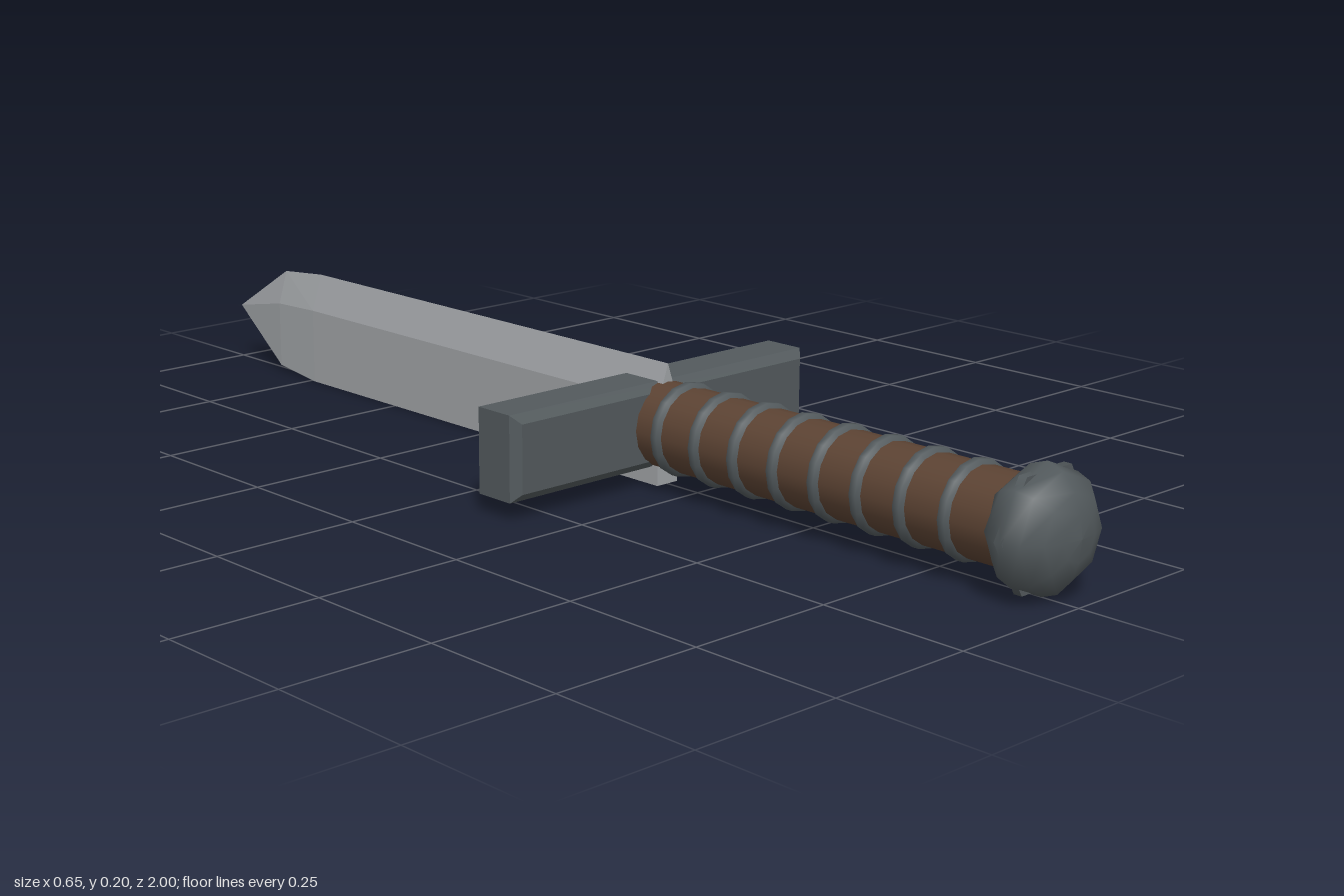
import * as THREE from 'three';

const material = (name, color) => Object.assign(new THREE.MeshStandardMaterial({ color }), { name });

export function createModel() {
  const steel = material('blade steel', 0xa0a3a6);
  const iron = material('dark iron', 0x535a5d);
  const leather = material('brown leather', 0x5c4333);
  const model = new THREE.Group();
  model.name = 'shortSword';
  const midY = 0.1;

  const add = (name, geometry, mat, y, z) => {
    const mesh = new THREE.Mesh(geometry, mat);
    mesh.name = name;
    mesh.position.set(0, y, z);
    model.add(mesh);
    return mesh;
  };
  // Parts turned around the sword's long axis (z)
  const lathe = (points, sides) =>
    new THREE.LatheGeometry(points.map(([r, z]) => new THREE.Vector2(r, z)), sides).rotateX(Math.PI / 2);

  // Blade: five-sided sections, flat underneath, sharp on top, closing to a point
  const sections = [
    // z, half width, bottom, ridge, top
    [0.18, 0.022, 0, 0.135, 0.2],
    [-0.74, 0.022, 0, 0.135, 0.2],
    [-0.85, 0.018, 0.011, 0.13, 0.19],
    [-1, 0, 0.1, 0.1, 0.1],
  ].map(([z, w, bottom, ridge, top]) =>
    [[-w, bottom], [w, bottom], [w, ridge], [0, top], [-w, ridge]].map(([x, y]) => [x, y, z]));
  const corners = [];
  const tri = (a, b, c) => corners.push(...a, ...b, ...c);
  for (let s = 0; s < sections.length - 1; s++) {
    const near = sections[s], far = sections[s + 1];
    for (let i = 0; i < 5; i++) {
      const j = (i + 1) % 5;
      tri(near[i], far[i], near[j]);
      if (s < sections.length - 2) tri(near[j], far[i], far[j]);
    }
  }
  const base = sections[0];
  for (let i = 1; i < 4; i++) tri(base[0], base[i], base[i + 1]);
  const blade = new THREE.BufferGeometry();
  blade.setAttribute('position', new THREE.Float32BufferAttribute(corners, 3));
  blade.computeVertexNormals();
  add('blade', blade, steel, 0, 0);

  // Crossguard: block with chamfered front and back rims
  const bevel = 0.014, w = 0.323 - bevel, h = 0.07 - bevel;
  const outline = new THREE.Shape([[-w, -h], [w, -h], [w, h], [-w, h]].map(p => new THREE.Vector2(...p)));
  const guard = new THREE.ExtrudeGeometry(outline, {
    depth: 0.1 - 2 * bevel, bevelEnabled: true, bevelSize: bevel, bevelThickness: bevel, bevelSegments: 1,
  });
  add('crossguard', guard, iron, midY, 0.08 + bevel);

  // Grip with evenly spaced binding rings
  const grip = new THREE.CylinderGeometry(0.07, 0.07, 0.73, 16).rotateX(Math.PI / 2);
  add('grip', grip, leather, midY, 0.53);
  const ring = lathe([[0.068, -0.012], [0.077, -0.006], [0.077, 0.006], [0.068, 0.012]], 16);
  for (let i = 0; i < 8; i++) add('gripRing' + (i + 1), ring, iron, midY, 0.226 + i * 0.0835);

  // Pommel: flattened eight-sided knob with a six-sided collar just breaking its surface
  const pommel = lathe([[0, 0.884], [0.07, 0.884], [0.09, 0.905], [0.1, 0.935],
    [0.09, 0.962], [0.065, 0.985], [0.035, 0.996], [0, 1]], 8);
  add('pommel', pommel, iron, midY, 0);
  const collar = new THREE.CylinderGeometry(0.1, 0.1, 0.014, 6).rotateY(Math.PI / 6).rotateX(Math.PI / 2);
  add('pommelCollar', collar, iron, midY, 0.932);

  return model;
}
